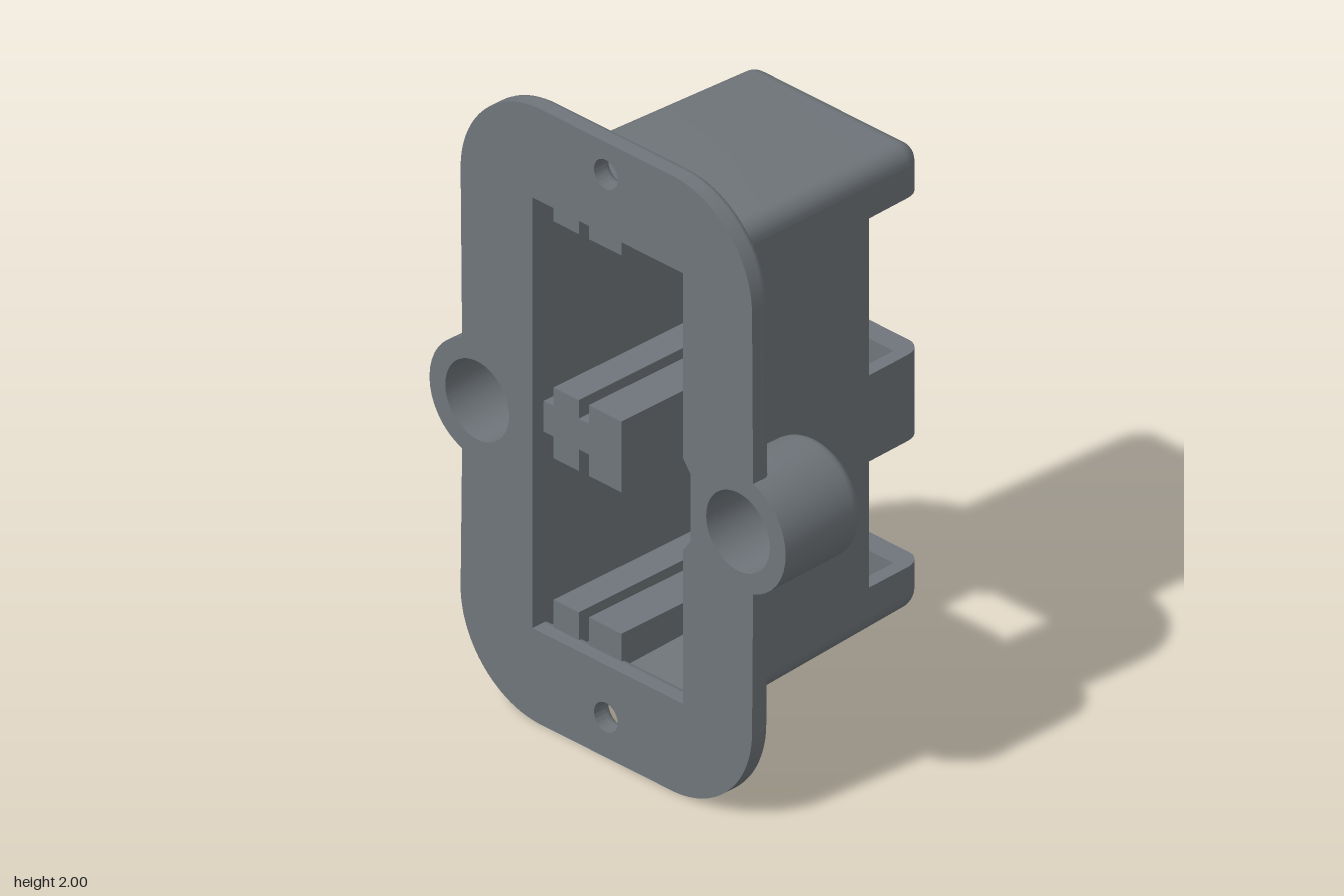
import * as THREE from 'three';
import { toCreasedNormals } from 'three/addons/utils/BufferGeometryUtils.js';

const material = new THREE.MeshStandardMaterial({ color: 0x6f757a });
const V = (x, y) => new THREE.Vector2(x, y);
const R = 0.06; // edge rounding of the housing

// Points of an arc; coordinates are (x, z) in plan
function arc(cx, cz, r, a0, a1, n = 6) {
  return Array.from({ length: n + 1 }, (_, i) => {
    const a = a0 + (a1 - a0) * i / n;
    return V(cx + r * Math.cos(a), cz + r * Math.sin(a));
  });
}

// Stacks a plan outline (given as a function of its inset) through [y, inset] levels
function slab(outline, levels) {
  const rings = levels.map(([y, inset]) => outline(inset).map(p => [p.x, y, p.y]));
  const n = rings[0].length, pos = [];
  const tri = (a, b, c) => pos.push(...a, ...b, ...c);
  for (let k = 0; k < rings.length - 1; k++) {
    for (let i = 0; i < n; i++) {
      const j = (i + 1) % n, lo = rings[k], hi = rings[k + 1];
      tri(lo[i], hi[i], hi[j]);
      tri(lo[i], hi[j], lo[j]);
    }
  }
  const cap = (ring, up) => {
    const faces = THREE.ShapeUtils.triangulateShape(ring.map(p => V(p[0], p[2])), []);
    for (const [a, b, c] of faces) up ? tri(ring[a], ring[c], ring[b]) : tri(ring[a], ring[b], ring[c]);
  };
  cap(rings[0], false);
  cap(rings[rings.length - 1], true);
  const g = new THREE.BufferGeometry();
  g.setAttribute('position', new THREE.Float32BufferAttribute(pos, 3));
  return g;
}

// Narrows the housing slightly toward its outer end
function taper(g) {
  const p = g.attributes.position;
  for (let i = 0; i < p.count; i++) {
    const t = (p.getX(i) + 0.4) / 0.865, y = p.getY(i);
    p.setZ(i, -0.01 + (p.getZ(i) + 0.01) * (1 - 0.075 * t));
    if (y > 1.65) p.setY(i, y - 0.025 * t);
    if (y < 0.35) p.setY(i, y + 0.03 * t);
  }
  return g;
}

export function createModel() {
  const model = new THREE.Group();
  const add = (name, g, parent = model) => {
    const mesh = new THREE.Mesh(toCreasedNormals(g, 0.6), material);
    mesh.name = name;
    parent.add(mesh);
  };

  // Mounting flange, drawn in (-z, y) with lobes behind the side bosses
  const h = Math.PI / 2, lobeR = 0.188, lobe = Math.acos(0.06 / lobeR);
  const plate = new THREE.Shape();
  plate.moveTo(0.266, 0);
  plate.absarc(0.266, 0.32, 0.32, -h, 0);
  plate.absarc(0.52, 0.95, lobeR, -lobe, lobe);
  plate.absarc(0.266, 1.68, 0.32, 0, h);
  plate.absarc(-0.256, 1.68, 0.32, h, 2 * h);
  plate.absarc(-0.52, 0.95, lobeR, 2 * h - lobe, 2 * h + lobe);
  plate.absarc(-0.256, 0.32, 0.32, 2 * h, 3 * h);
  plate.closePath();
  plate.holes.push(new THREE.Path([
    V(-0.3, 0.3), V(-0.3, 0.8), V(-0.33, 0.84), V(-0.33, 1.06), V(-0.3, 1.1), V(-0.3, 1.7),
    V(0.3, 1.7), V(0.3, 0.3),
  ]));
  for (const [u, y, r] of [[0.007, 0.13, 0.047], [0.007, 1.895, 0.047], [0.52, 0.95, 0.127], [-0.52, 0.95, 0.127]]) {
    plate.holes.push(new THREE.Path().absarc(u, y, r, 0, 4 * h, true));
  }
  const back = new THREE.ExtrudeGeometry(plate, { depth: 0.045, bevelEnabled: false, curveSegments: 24 });
  add('flangeBack', back.rotateY(h).translate(-0.465, 0, 0));
  const face = new THREE.ExtrudeGeometry(plate, {
    depth: 0.015, bevelThickness: 0.02, bevelSize: 0.02, bevelOffset: -0.02, bevelSegments: 4, curveSegments: 24,
  });
  add('flangeFace', face.rotateY(h).translate(-0.432, 0, 0));

  // Hollow screw bosses, counterbored from the back
  const profile = [
    V(0.127, -0.465), V(0.19, -0.465),
    ...arc(0.145, -0.187, 0.04, 0, h, 5),
    V(0.085, -0.147), V(0.07, -0.154), V(0.065, -0.167),
    V(0.065, -0.24), V(0.127, -0.24), V(0.127, -0.465),
  ];
  for (const s of [1, -1]) {
    const boss = new THREE.LatheGeometry(profile, 40).rotateZ(-h).translate(0, 0.95, 0.52 * s);
    add(s > 0 ? 'frontBoss' : 'rearBoss', boss);
  }

  // Housing shell
  const housing = new THREE.Group();
  housing.name = 'housing';
  model.add(housing);
  const x0 = -0.44, x1 = 0.465, z0 = -0.37, z1 = 0.35, zIn = 0.302, zWin = -0.117;
  const rearWall = () => [
    V(x0, z0), ...arc(x1 - R, z0 + R, R, -h, 0),
    V(x1, zWin), V(0.39, zWin), V(0.39, -0.3), V(x0, -0.3),
  ];
  const frontWall = i => [V(x0, zIn + i), V(0.245, zIn + i), V(0.245, z1), V(x0, z1)];
  const cornerBar = () => [
    V(0.245, zIn), V(0.39, zIn), V(0.39, zWin), V(x1, zWin),
    ...arc(x1 - R, z1 - R, R, 0, h), V(0.245, z1),
  ];
  const lid = i => [
    V(x0, z0 + i), ...arc(x1 - R, z0 + R, R - i, -h, 0),
    ...arc(x1 - R, z1 - R, R - i, 0, h), V(x0, z1 - i),
  ];
  add('rearAndEndWall', taper(slab(rearWall, [[0.28, 0], [1.72, 0]])), housing);
  // The front wall carries a shallow channel inside, level with the bosses
  const channel = [[0.28, 0], [0.8, 0], [0.84, 0.03], [1.06, 0.03], [1.1, 0], [1.72, 0]];
  add('frontWall', taper(slab(frontWall, channel)), housing);

  // Bars that wrap the corner between the two windows
  for (const [name, a, b] of [['lowerBar', 0.28, 0.4], ['middleBar', 0.81, 1.09], ['upperBar', 1.6, 1.72]]) {
    add(name, taper(slab(cornerBar, [[a, 0], [b, 0]])), housing);
  }

  // Rounded roof and floor
  const round = Array.from({ length: 7 }, (_, i) => {
    const a = h * i / 6;
    return [R * Math.sin(a), Math.min(R * (1 - Math.cos(a)), R - 0.001)];
  });
  add('roof', taper(slab(lid, round.map(([d, i]) => [1.72 + d, i]))), housing);
  add('floor', taper(slab(lid, round.map(([d, i]) => [0.28 - d, i]).reverse())), housing);

  // Guide rails along the inside, above and below each window
  const rails = new THREE.Group();
  rails.name = 'guideRails';
  model.add(rails);
  const box = (name, y0, y1, za, zb) => add(name,
    new THREE.BoxGeometry(0.81, y1 - y0, zb - za).translate(-0.015, (y0 + y1) / 2, (za + zb) / 2), rails);
  box('railShelf', 0.92, 1.02, -0.31, 0);
  for (const [y0, y1] of [[0.27, 0.39], [0.85, 1.08], [1.62, 1.73]]) {
    box('rearRail', y0, y1, -0.26, -0.16);
    box('middleRail', y0, y1, -0.12, 0.01);
  }
  return model;
}
